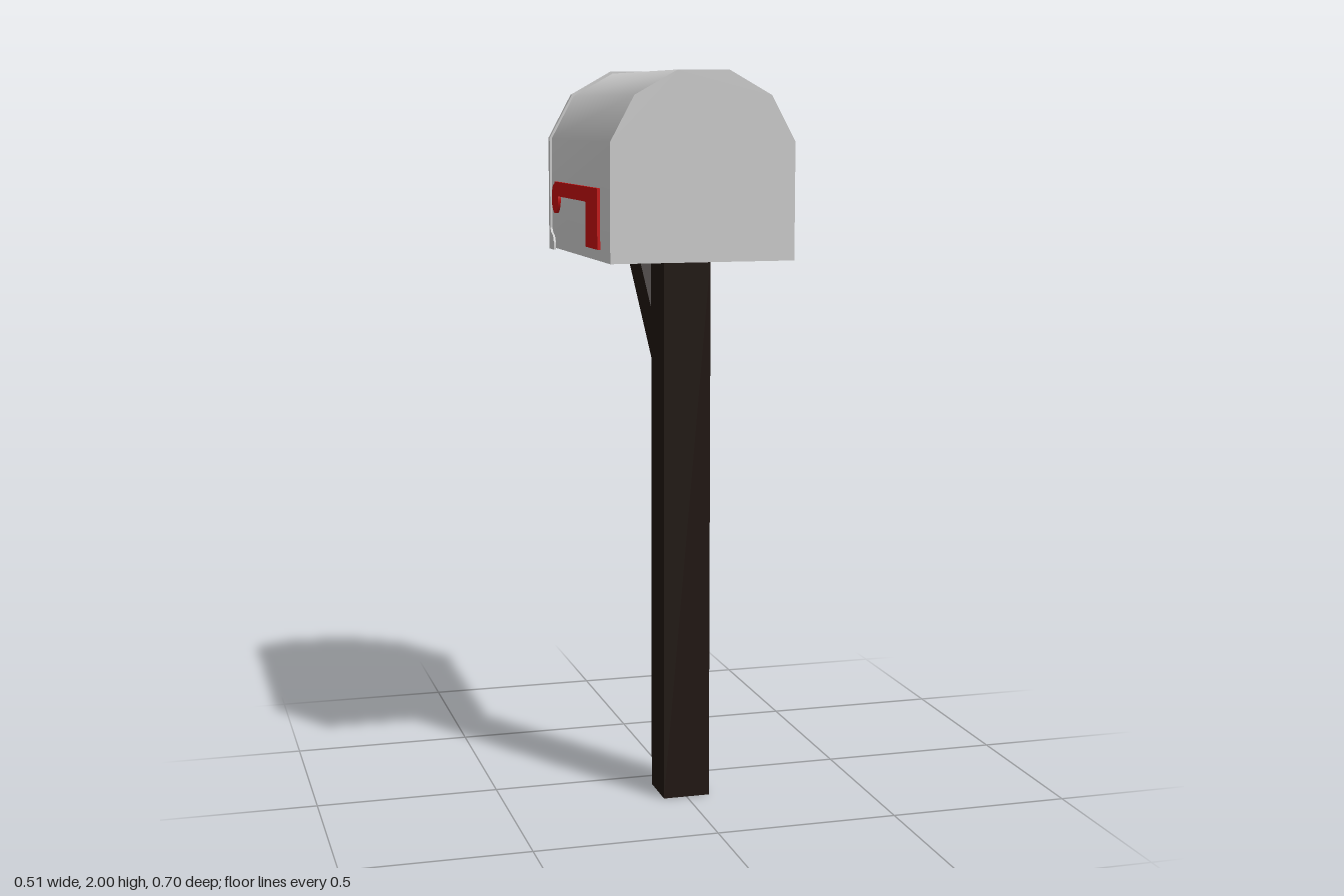
import * as THREE from 'three';
import { toCreasedNormals } from 'three/addons/utils/BufferGeometryUtils.js';

const metal = new THREE.MeshStandardMaterial({ color: 0xcccccc });
const wood = new THREE.MeshStandardMaterial({ color: 0x1f1510 });
const red = new THREE.MeshStandardMaterial({ color: 0xc41010 });

// Half-arch outline grown by o, mirrored into a full outline from right foot to left foot
function arch(o, foot) {
  const half = [[0.25 + o, foot], [0.25 + o, 1.81 + o * 0.3], [0.185 + o * 0.8, 1.93 + o * 0.7], [0.07 + o * 0.4, 1.994 + o]];
  const pts = half.map(([x, y]) => new THREE.Vector2(x, y));
  return pts.concat(half.reverse().map(([x, y]) => new THREE.Vector2(-x, y)));
}

function extrude(shape, depth, crease = 0.7) {
  const geo = new THREE.ExtrudeGeometry(shape, { depth, bevelEnabled: false, curveSegments: 12 });
  return toCreasedNormals(geo, crease);
}

// Extrudes a (z, y) outline sideways between x0 and x1
function sideways(shape, x0, x1) {
  return extrude(shape, x1 - x0).rotateY(-Math.PI / 2).translate(x1, 0, 0);
}

const outline = (list) => new THREE.Shape(list.map(([a, b]) => new THREE.Vector2(a, b)));

export function createModel() {
  const group = new THREE.Group();
  const add = (name, geo, mat) => {
    const mesh = new THREE.Mesh(geo, mat);
    mesh.name = name;
    group.add(mesh);
    return mesh;
  };

  // Square post and the diagonal brace under the box
  add('post', new THREE.BoxGeometry(0.13, 1.5, 0.13).translate(0, 0.75, 0.135), wood);
  add('brace', sideways(outline([[0.07, 1.2], [0.07, 1.335], [-0.09, 1.5], [-0.22, 1.5]]), -0.06, 0.06), wood);

  // Arched box with a smooth roof
  add('box', extrude(new THREE.Shape(arch(0, 1.5)), 0.692).translate(0, 0, -0.342), metal);

  // Door rim: thin arched strip, open at the bottom
  const rim = new THREE.Shape(arch(0.006, 1.495).concat(arch(-0.009, 1.495).reverse()));
  add('doorRim', extrude(rim, 0.017, 0.2).translate(0, 0, -0.35), metal);

  // Rounded hinge tabs at the lower corners of the door
  const tab = new THREE.Shape();
  tab.moveTo(-0.35, 1.495);
  tab.lineTo(-0.29, 1.495);
  tab.lineTo(-0.29, 1.515);
  tab.quadraticCurveTo(-0.295, 1.535, -0.315, 1.54);
  tab.quadraticCurveTo(-0.333, 1.545, -0.335, 1.565);
  tab.lineTo(-0.35, 1.565);
  for (const side of [-1, 1]) {
    add(side > 0 ? 'leftHinge' : 'rightHinge', sideways(tab, side * 0.253 - 0.003, side * 0.253 + 0.003), metal);
  }

  // Signal flag: pivot disc, arm and hanging panel
  const flag = new THREE.Group();
  flag.name = 'flag';
  const arm = outline([[-0.265, 1.65], [0.11, 1.65], [0.11, 1.53], [0.243, 1.53], [0.243, 1.69], [-0.265, 1.69]]);
  const armMesh = add('flagArm', sideways(arm, -0.258, -0.249), red);
  const disc = new THREE.CylinderGeometry(0.042, 0.042, 0.0086, 24).rotateZ(Math.PI / 2).translate(-0.2535, 1.643, -0.263);
  flag.add(armMesh, add('flagPivot', disc, red));
  group.add(flag);

  return group;
}
